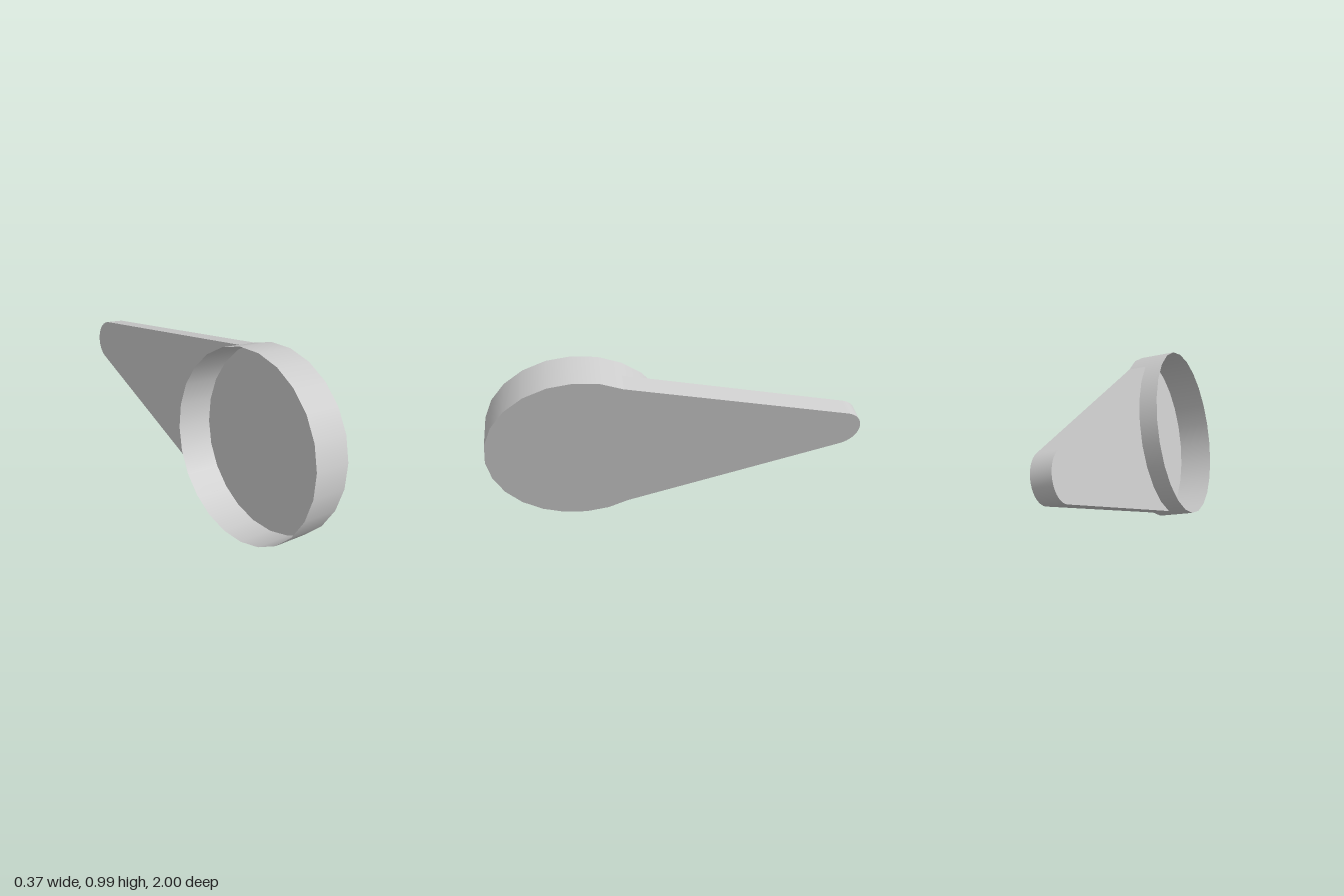
import * as THREE from 'three';

const R = 0.485, DRUM = -0.515;   // drum radius and centre along the arm
const r = 0.118, TIP = 0.882;     // rounded tip radius and centre
const HALF = 0.101;               // half the drum depth
const KINK = [-0.28, 0.423];      // where the arm edge meets the drum

// points of an arc, angles in degrees
function arc(cx, rad, from, to, steps) {
  return Array.from({ length: steps + 1 }, (_, i) => {
    const a = THREE.MathUtils.degToRad(from + (to - from) * i / steps);
    return new THREE.Vector2(cx + rad * Math.cos(a), rad * Math.sin(a));
  });
}

// open wall following a path, from depth w0 to depth w1
function wall(path, w0, w1) {
  const pos = [], index = [];
  path.forEach((p, i) => {
    pos.push(p.x, p.y, w0, p.x, p.y, w1);
    if (i) {
      const a = 2 * i - 2;
      index.push(a, a + 2, a + 1, a + 1, a + 2, a + 3);
    }
  });
  const g = new THREE.BufferGeometry();
  g.setAttribute('position', new THREE.Float32BufferAttribute(pos, 3));
  g.setIndex(index);
  g.computeVertexNormals();
  return g;
}

export function createModel() {
  const mat = new THREE.MeshStandardMaterial({ color: 0xcccccc, side: THREE.DoubleSide });
  const model = new THREE.Group();
  const body = new THREE.Group();
  body.name = 'body';
  const add = (name, geo) => {
    const m = new THREE.Mesh(geo, mat);
    m.name = name;
    body.add(m);
    return m;
  };

  const upper = new THREE.Vector2(...KINK);
  const lower = new THREE.Vector2(KINK[0], -KINK[1]);
  const edge = [lower, ...arc(TIP, r, -75.5, 75.5, 16), upper];

  // cover plate: drum disc and tapering arm in one outline
  const cover = new THREE.ShapeGeometry(new THREE.Shape([...edge, ...arc(DRUM, R, 75, 285, 14)]));
  add('coverPlate', cover.translate(0, 0, HALF));

  // arm: inner face ending at the drum wall, and its rim
  add('armInnerFace', new THREE.ShapeGeometry(new THREE.Shape([...edge, ...arc(DRUM, R, 60, -60, 8)])));
  add('armRim', wall(edge, 0, HALF));

  // drum wall, open on the inner side
  const drum = new THREE.CylinderGeometry(R, R, 2 * HALF, 24, 1, true);
  add('drumWall', drum.rotateX(Math.PI / 2).translate(DRUM, 0, 0));

  // point the arm backwards, then lean the whole body sideways
  body.rotation.y = Math.PI / 2;
  model.add(body);
  model.rotation.z = THREE.MathUtils.degToRad(-10);
  model.position.y = 0.496;

  const root = new THREE.Group();
  root.name = 'leaningPaddle';
  model.name = 'lean';
  root.add(model);
  return root;
}
